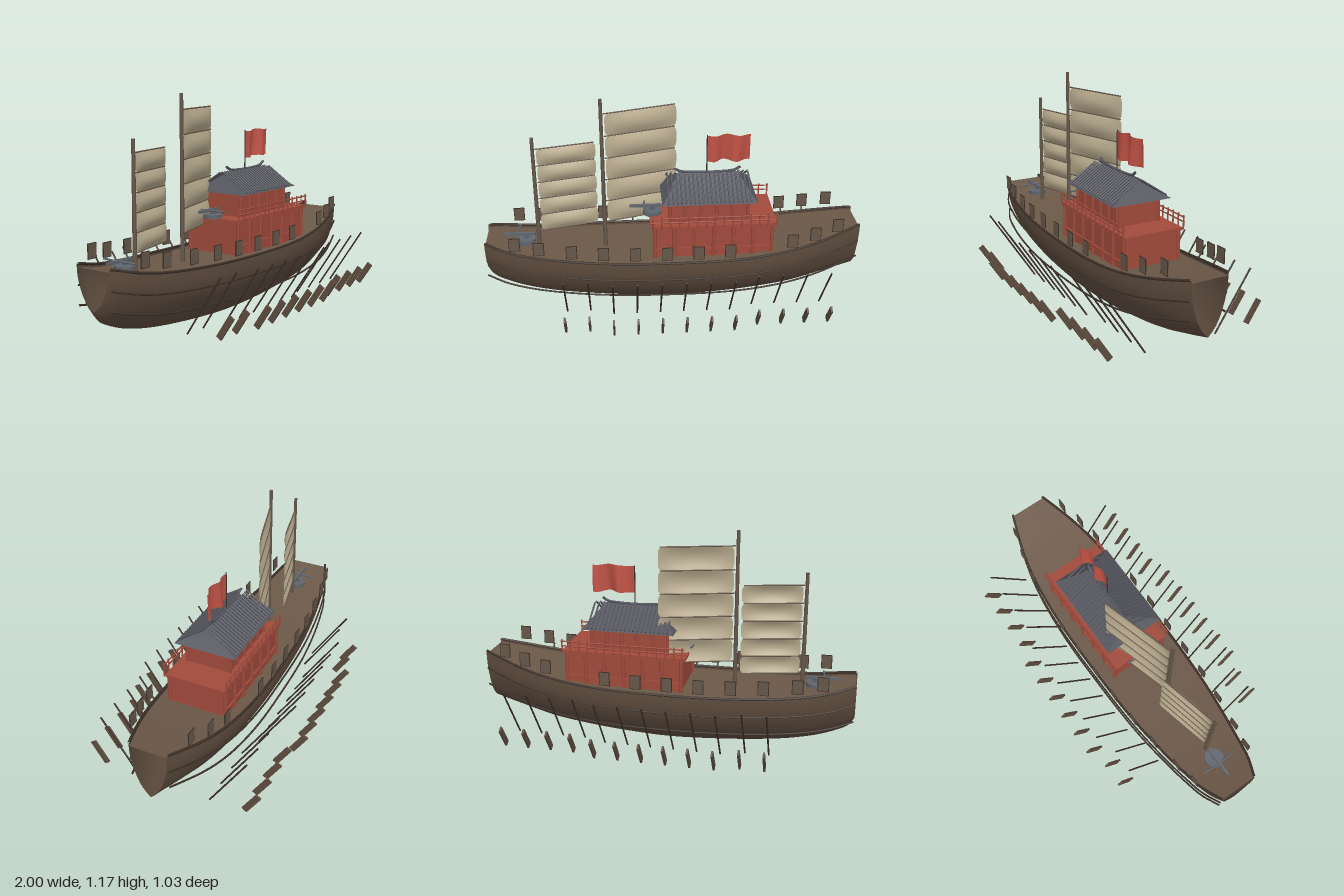
import * as THREE from 'three';

const mat = (name, color, double) => {
  const m = new THREE.MeshStandardMaterial({ color });
  m.name = name;
  if (double) m.side = THREE.DoubleSide;
  return m;
};

// Smooth interpolation through [x, y] points
function curve(pts) {
  const slope = (i) => {
    const a = pts[Math.max(i - 1, 0)], b = pts[Math.min(i + 1, pts.length - 1)];
    return (b[1] - a[1]) / (b[0] - a[0]);
  };
  return (x) => {
    let i = 0;
    while (i < pts.length - 2 && x > pts[i + 1][0]) i++;
    const [x0, y0] = pts[i], [x1, y1] = pts[i + 1], h = x1 - x0, t = (x - x0) / h;
    const t2 = t * t, t3 = t2 * t;
    return (2 * t3 - 3 * t2 + 1) * y0 + (t3 - 2 * t2 + t) * h * slope(i)
      + (3 * t2 - 2 * t3) * y1 + (t3 - t2) * h * slope(i + 1);
  };
}

// Hull lines: rail height, keel height, half width, section fullness
const sheer = curve([[-1, 0.42], [-0.82, 0.377], [-0.63, 0.355], [-0.3, 0.34], [0, 0.337], [0.33, 0.345], [0.55, 0.365], [0.76, 0.4], [1, 0.457]]);
const keel = curve([[-1, 0.205], [-0.98, 0.17], [-0.94, 0.14], [-0.8, 0.085], [-0.58, 0.04], [-0.2, 0.005], [0.1, 0], [0.6, 0.05], [0.87, 0.12], [1, 0.16]]);
const beam = curve([[-1, 0.1], [-0.93, 0.135], [-0.8, 0.165], [-0.6, 0.197], [-0.35, 0.223], [0, 0.234], [0.3, 0.234], [0.6, 0.21], [0.8, 0.168], [1, 0.1]]);
const fullness = curve([[0, 0], [0.12, 0.33], [0.26, 0.57], [0.45, 0.77], [0.6, 0.89], [0.8, 0.98], [1, 1]]);

// Grid surface from a function of (u, v)
function surface(nu, nv, f) {
  const g = new THREE.PlaneGeometry(1, 1, nu, nv), p = g.attributes.position;
  for (let i = 0; i < p.count; i++) p.setXYZ(i, ...f(p.getX(i) + 0.5, p.getY(i) + 0.5));
  g.computeVertexNormals();
  return g;
}

export function createModel() {
  const root = new THREE.Group();
  root.name = 'oaredJunk';
  const hullWood = mat('hullWood', 0x5f4d3f, true), deckWood = mat('deckWood', 0x6b5848, true);
  const darkWood = mat('darkWood', 0x3d3128), mastWood = mat('mastWood', 0x66574a);
  const sailCloth = mat('sailCloth', 0xb8ab8e, true), red = mat('redPaint', 0xa04a3b);
  const flagRed = mat('flagRed', 0xc05245, true), tile = mat('roofTile', 0x55565e, true);
  const iron = mat('iron', 0x5f666d);

  const add = (name, geo, m, x = 0, y = 0, z = 0, parent = root) => {
    const mesh = new THREE.Mesh(geo, m);
    mesh.name = name;
    mesh.position.set(x, y, z);
    parent.add(mesh);
    return mesh;
  };
  const box = (name, w, h, d, m, x, y, z, parent) => add(name, new THREE.BoxGeometry(w, h, d), m, x, y, z, parent);
  const rod = (name, a, b, r, m, parent = root, r2 = r) => {
    const A = new THREE.Vector3(...a), B = new THREE.Vector3(...b), d = B.clone().sub(A);
    const mesh = add(name, new THREE.CylinderGeometry(r2, r, d.length(), 8), m, 0, 0, 0, parent);
    mesh.position.copy(A).add(B).multiplyScalar(0.5);
    mesh.quaternion.setFromUnitVectors(new THREE.Vector3(0, 1, 0), d.normalize());
    return mesh;
  };
  const tube = (name, pts, r, m) => add(name, new THREE.TubeGeometry(
    new THREE.CatmullRomCurve3(pts.map((p) => new THREE.Vector3(...p))), 60, r, 6), m);

  // Hull shell, end transoms and deck
  const section = (x, v) => {
    const s = v * 2 - 1, t = Math.abs(s);
    return [beam(x) * fullness(t) * Math.sign(s), keel(x) + (sheer(x) - keel(x)) * t];
  };
  add('hull', surface(60, 24, (u, v) => {
    const x = -Math.cos(u * Math.PI), [z, y] = section(x, v);
    return [x, y, z];
  }), hullWood);
  for (const e of [-1, 1]) {
    const pts = Array.from({ length: 25 }, (_, i) => new THREE.Vector2(...section(e, i / 24)));
    const cap = new THREE.ShapeGeometry(new THREE.Shape(pts)).rotateY(e * Math.PI / 2);
    add(e < 0 ? 'bowTransom' : 'sternTransom', cap, hullWood, -e * 0.001);
  }
  add('deck', surface(40, 2, (u, v) => {
    const x = (u * 2 - 1) * 0.995;
    return [x, sheer(x) - 0.016, -(v * 2 - 1) * beam(x) * 0.985];
  }), deckWood);

  // Gunwales and rubbing strakes
  const stations = Array.from({ length: 21 }, (_, i) => (i / 10 - 1) * 0.995);
  for (const s of [-1, 1]) {
    tube('gunwale', stations.map((x) => [x, sheer(x), s * beam(x)]), 0.007, darkWood);
    tube('upperStrake', stations.map((x) => [x, sheer(x) - 0.1, s * (beam(x) + 0.002)]), 0.005, darkWood);
    tube('lowerStrake', stations.map((x) => [x, sheer(x) - 0.195, s * (beam(x) - 0.002)]), 0.005, darkWood);
  }

  // Masts and battened sails
  const rig = (x, top, length, low, high, angle) => {
    const g = new THREE.Group();
    g.name = 'mastAndSail';
    g.position.x = x;
    root.add(g);
    rod('mast', [0, 0.3, 0], [0, top, 0], 0.0115, mastWood, g, 0.009);
    const sail = new THREE.Group();
    sail.name = 'sail';
    sail.rotation.y = angle;
    g.add(sail);
    const h = (high - low) / 5;
    for (let i = 0; i < 5; i++) {
      add('sailPanel', surface(12, 8, (u, v) => {
        const inset = 0.012 * Math.pow(Math.abs(2 * v - 1), 6);
        const bulge = 0.018 * Math.sqrt(Math.max(0, Math.sin(Math.PI * u))) * Math.sin(Math.PI * v);
        return [0.018 + inset + u * (length - 2 * inset), low + h * (i + 0.02 + v * 0.96), bulge];
      }), sailCloth, 0, 0, 0, sail);
    }
    for (let i = 0; i <= 5; i++) rod('batten', [0.012, low + h * i, 0], [length + 0.01, low + h * i, 0], 0.0035, mastWood, sail);
  };
  rig(-0.72, 0.97, 0.31, 0.43, 0.905, 0.23);
  rig(-0.365, 1.17, 0.39, 0.47, 1.09, 0.285);

  // Lower cabin with columns and a balcony rail
  box('lowerCabin', 0.62, 0.18, 0.305, red, 0.205, 0.42, 0);
  box('balconyFloor', 0.665, 0.014, 0.33, red, 0.205, 0.511, 0);
  for (const s of [-1, 1]) {
    box('cabinSill', 0.64, 0.016, 0.012, red, 0.205, 0.375, s * 0.156);
    for (let i = 0; i < 7; i++) {
      const x = -0.105 + i * 0.1033;
      rod('lowerColumn', [x, 0.33, s * 0.157], [x, 0.505, s * 0.157], 0.01, red);
    }
    for (let i = 0; i < 15; i++) {
      const x = -0.115 + i * 0.0464;
      rod('railPost', [x, 0.505, s * 0.172], [x, 0.58, s * 0.172], 0.004, red);
    }
    for (const y of [0.545, 0.57]) rod('handrail', [-0.125, y, s * 0.172], [0.54, y, s * 0.172], 0.004, red);
  }

  // Upper cabin
  box('upperCabin', 0.41, 0.14, 0.235, red, 0.18, 0.58, 0);
  box('upperBeam', 0.43, 0.014, 0.25, red, 0.18, 0.635, 0);
  for (const s of [-1, 1]) for (let i = 0; i < 6; i++) {
    const x = -0.025 + i * 0.082;
    rod('upperColumn', [x, 0.515, s * 0.12], [x, 0.645, s * 0.12], 0.009, red);
  }

  // Hipped roof from shrinking rectangles, with tile ribs and a curved ridge
  const pos = [], levels = 4, cx = 0.183;
  const ring = (k) => {
    const s = k / levels, hx = 0.248 - 0.09 * s, hz = 0.167 * (1 - s), y = 0.64 + 0.108 * (0.85 * s + 0.15 * s * s);
    return [[cx + hx, y, hz], [cx + hx, y, -hz], [cx - hx, y, -hz], [cx - hx, y, hz]];
  };
  const quad = (a, b, c, d) => pos.push(...a, ...b, ...c, ...a, ...c, ...d);
  for (let k = 0; k < levels; k++) {
    const a = ring(k), b = ring(k + 1);
    for (let i = 0; i < 4; i++) quad(a[i], a[(i + 1) % 4], b[(i + 1) % 4], b[i]);
  }
  quad(...ring(0).reverse());
  const roofGeo = new THREE.BufferGeometry();
  roofGeo.setAttribute('position', new THREE.Float32BufferAttribute(pos, 3));
  roofGeo.computeVertexNormals();
  add('roof', roofGeo, tile);
  for (let i = 0; i < 20; i++) for (const s of [-1, 1]) {
    const x = -0.03 + i * 0.0224;
    rod('tileRib', [x, 0.647, s * 0.16], [x, 0.745, s * 0.012], 0.005, tile);
  }
  tube('roofRidge', [[0.01, 0.772, 0], [0.04, 0.757, 0], [0.1, 0.75, 0], [0.183, 0.748, 0], [0.265, 0.75, 0], [0.325, 0.757, 0], [0.355, 0.775, 0]], 0.007, tile);

  // Flag
  rod('flagPole', [0.178, 0.74, 0], [0.178, 0.957, 0], 0.003, darkWood);
  add('flag', surface(24, 6, (u, v) => [
    0.178 + u * 0.227, 0.81 + v * 0.145 - 0.004 * Math.sin(u * 9),
    (0.012 + 0.01 * (1 - v)) * Math.sin(u * Math.PI * 3.6 + 0.5 * (1 - v)) * Math.min(1, u * 3)]), flagRed);

  // Bolt throwers on turntables
  for (const [x, y] of [[-0.79, 0.372], [-0.11, 0.52]]) {
    const g = new THREE.Group();
    g.name = 'boltThrower';
    g.position.set(x, y, 0);
    root.add(g);
    add('turntable', new THREE.CylinderGeometry(0.05, 0.05, 0.022, 24), iron, 0, 0.005, 0, g);
    rod('pivot', [0, 0, 0], [0, 0.04, 0], 0.012, iron, g);
    box('stock', 0.17, 0.014, 0.014, iron, -0.035, 0.04, 0, g);
    for (const s of [-1, 1]) rod('bowArm', [-0.045, 0.04, 0], [-0.035, 0.04, s * 0.1], 0.005, iron, g);
  }

  // Shields along both rails
  for (const x of [-0.835, -0.71, -0.54, -0.375, -0.21, -0.045, 0.12, 0.285, 0.615, 0.74, 0.865]) for (const s of [-1, 1]) {
    const y = sheer(x) + 0.062, z = s * (beam(x) + 0.008);
    box('shieldRim', 0.058, 0.077, 0.004, darkWood, x, y, z);
    box('shield', 0.05, 0.069, 0.008, mastWood, x, y, z);
  }

  // Oars: shaft and separate blade, the middle six set further out
  for (let i = 0; i < 12; i++) for (const s of [-1, 1]) {
    const x = -0.58 + i * 0.1242, out = i > 1 && i < 8 ? 0.04 : 0;
    rod('oarShaft', [x, 0.04, s * (0.2 + out)], [x, 0.345, s * (0.4 + out)], 0.0045, darkWood);
    const blade = box('oarBlade', 0.01, 0.135, 0.032, hullWood, x, 0.11, s * (0.425 + out));
    blade.rotation.x = s * 0.58;
  }
  return root;
}
